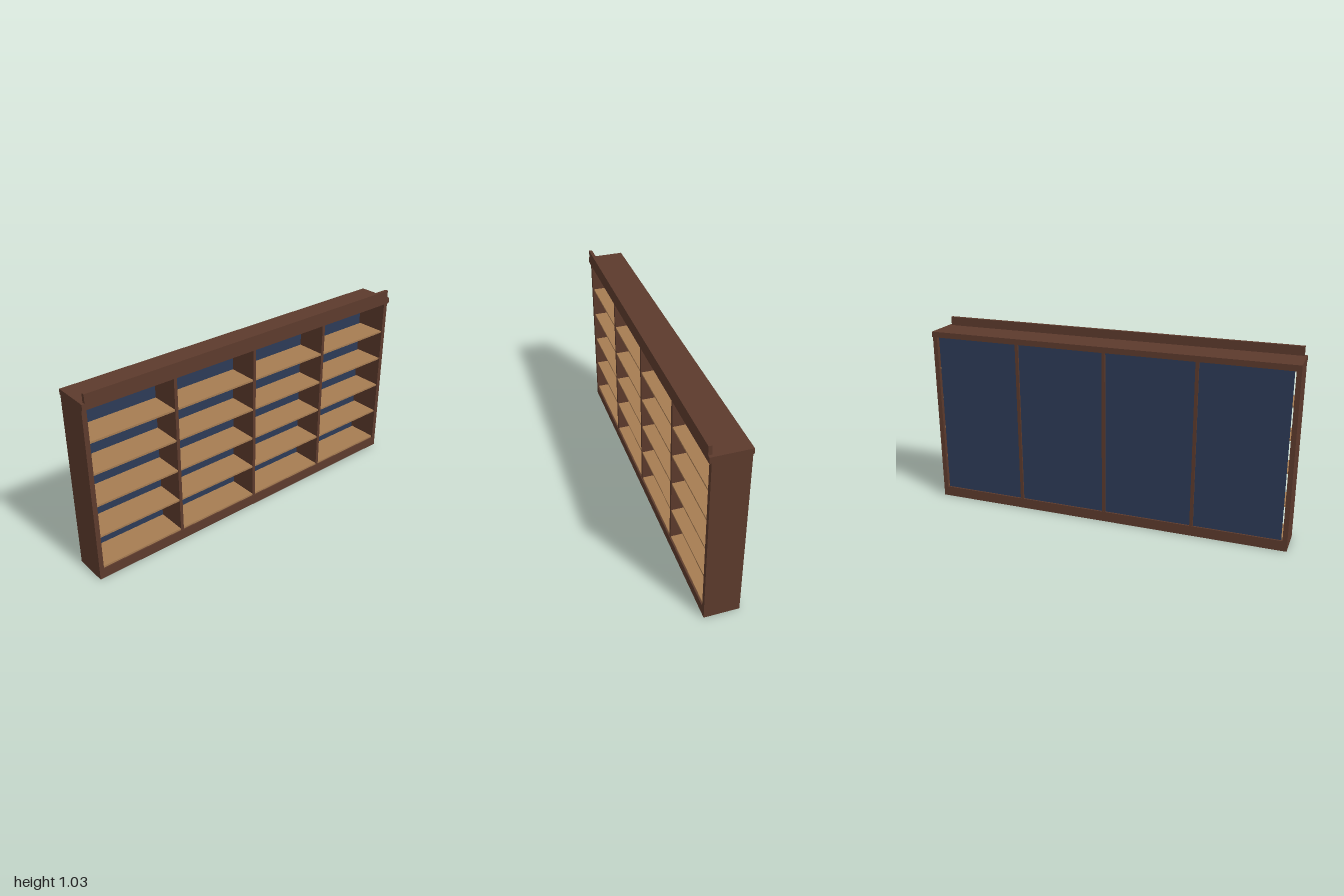
import * as THREE from 'three';

export function createModel() {
  const model = new THREE.Group();
  model.name = 'bookcase';

  const material = (name, color) => {
    const m = new THREE.MeshStandardMaterial({ color });
    m.name = name;
    return m;
  };
  const darkWood = material('dark wood', 0x5c3a2c);
  const lightWood = material('light wood', 0xa67c52);
  const navy = material('navy backing', 0x2c3a57);

  // Box given by its low and high limits on each axis
  const board = (name, mat, [x0, x1], [y0, y1], [z0, z1]) => {
    const mesh = new THREE.Mesh(new THREE.BoxGeometry(x1 - x0, y1 - y0, z1 - z0), mat);
    mesh.position.set((x0 + x1) / 2, (y0 + y1) / 2, (z0 + z1) / 2);
    mesh.name = name;
    model.add(mesh);
  };

  const back = -0.095, front = 0.089;
  const inner = 0.974; // inside face of the end panels

  // Outer case
  board('rightEndPanel', darkWood, [-0.999, -inner], [0, 0.983], [back, front]);
  board('leftEndPanel', darkWood, [inner, 0.999], [0, 0.983], [back, front]);
  board('plinth', darkWood, [-inner, inner], [0, 0.056], [back, front]);
  board('topBoard', darkWood, [-inner, inner], [0.951, 0.983], [back, front]);

  // Trim strips along the top edges and the raised front rail
  board('frontTrim', darkWood, [-1, 1], [0.951, 0.983], [front, 0.1]);
  board('backTrim', darkWood, [-1, 1], [0.954, 0.983], [-0.1, back]);
  board('topRail', darkWood, [-0.985, 0.983], [0.983, 1.03], [0.082, 0.1]);

  // Backing, with a narrow gap at each end
  board('backPanel', navy, [-0.966, 0.966], [0.056, 0.951], [-0.086, -0.08]);

  // Upright dividers, showing through the backing as ribs
  const dividers = [-0.495, -0.002, 0.491], half = 0.009;
  for (const x of dividers) {
    board('divider', darkWood, [x - half, x + half], [0.056, 0.951], [back + 0.001, 0.085]);
  }

  // Five rows of shelves, one board per bay
  const edges = [-inner - half, ...dividers, inner + half];
  for (const y of [0.062, 0.246, 0.425, 0.601, 0.773]) {
    for (let i = 0; i < edges.length - 1; i++) {
      board('shelf', lightWood, [edges[i] + half, edges[i + 1] - half], [y - 0.005, y + 0.005], [-0.08, 0.083]);
    }
  }
  return model;
}
